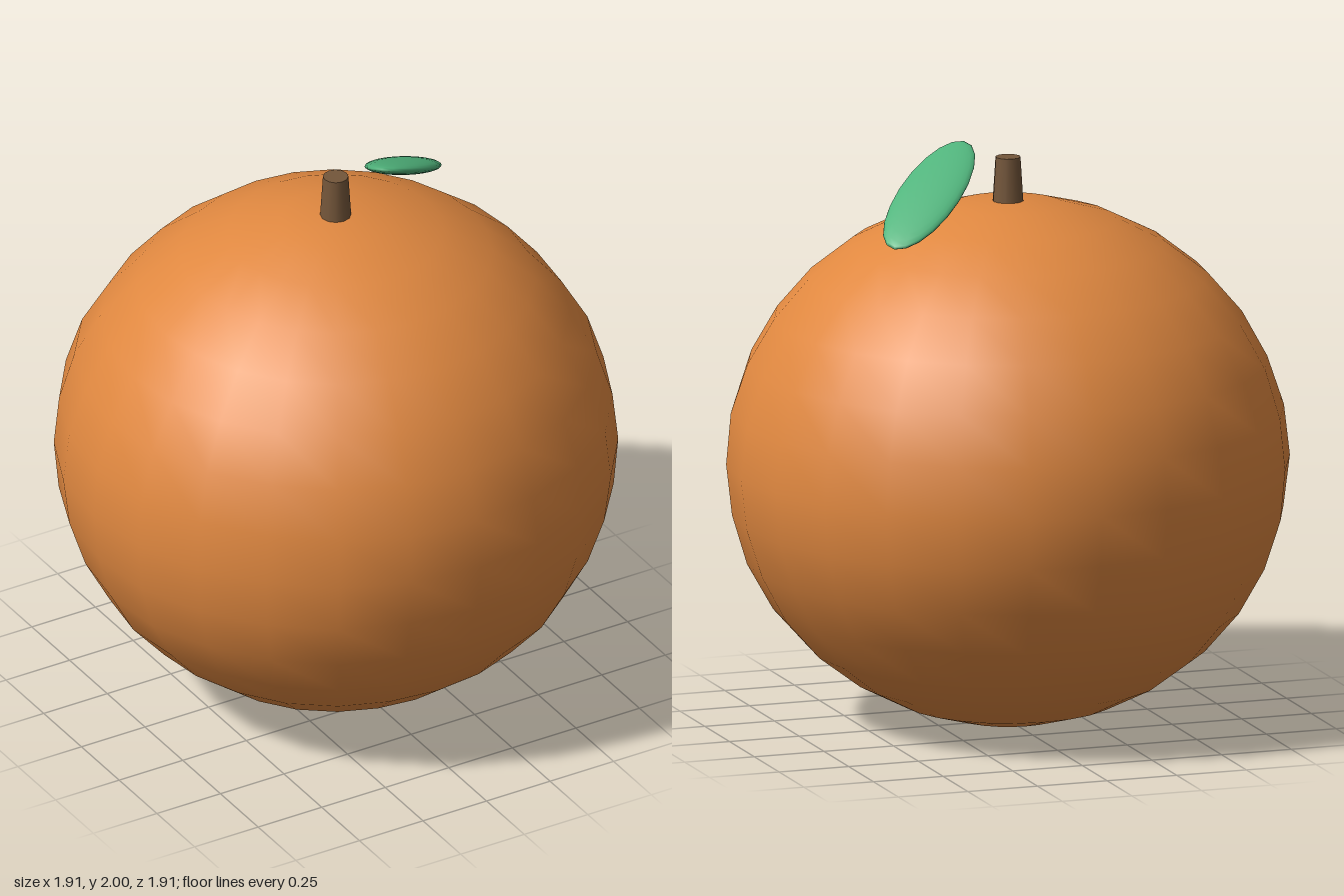
import * as THREE from 'three';
import { mergeVertices } from 'three/addons/utils/BufferGeometryUtils.js';

const peel = new THREE.MeshStandardMaterial({ color: 0xe08840 });
peel.name = 'orange peel';
const bark = new THREE.MeshStandardMaterial({ color: 0x74563a });
bark.name = 'brown stem';
const green = new THREE.MeshStandardMaterial({ color: 0x50b47c });
green.name = 'leaf green';

function part(name, geometry, material) {
  const mesh = new THREE.Mesh(geometry, material);
  mesh.name = name;
  return mesh;
}

// Slightly squashed sphere with gentle lumps, calm at the poles
function fruitGeometry() {
  let geo = new THREE.SphereGeometry(1, 24, 16);
  geo.deleteAttribute('uv');
  geo.deleteAttribute('normal');
  geo = mergeVertices(geo, 1e-4);
  const pos = geo.attributes.position;
  const p = new THREE.Vector3();
  for (let i = 0; i < pos.count; i++) {
    p.fromBufferAttribute(pos, i);
    const lump = Math.sin(7 * p.x + 2 * p.y) * Math.sin(6 * p.z - 5 * p.y + 1);
    p.multiplyScalar(1 + 0.007 * lump * (1 - p.y * p.y));
    pos.setXYZ(i, p.x * 0.955, p.y * 0.903, p.z * 0.955);
  }
  geo.computeVertexNormals();
  return geo;
}

export function createModel() {
  const group = new THREE.Group();
  group.name = 'orange';

  const fruit = part('fruit', fruitGeometry(), peel);
  fruit.position.y = 0.905;
  group.add(fruit);

  // Short tapered stem
  const stem = part('stem', new THREE.CylinderGeometry(0.043, 0.055, 0.19, 12), bark);
  stem.position.y = 1.86;
  group.add(stem);

  // Thin oval leaf, aligned by its length and width directions
  const leaf = part('leaf', new THREE.SphereGeometry(1, 20, 14).scale(0.292, 0.028, 0.113), green);
  const length = new THREE.Vector3(-0.645, 0.467, 0.605).normalize();
  const normal = length.clone().cross(new THREE.Vector3(0.71, 0.073, 0.7)).normalize();
  const width = length.clone().cross(normal);
  leaf.quaternion.setFromRotationMatrix(new THREE.Matrix4().makeBasis(length, normal, width));
  leaf.position.set(0.31, 1.86, -0.075);
  group.add(leaf);

  return group;
}
